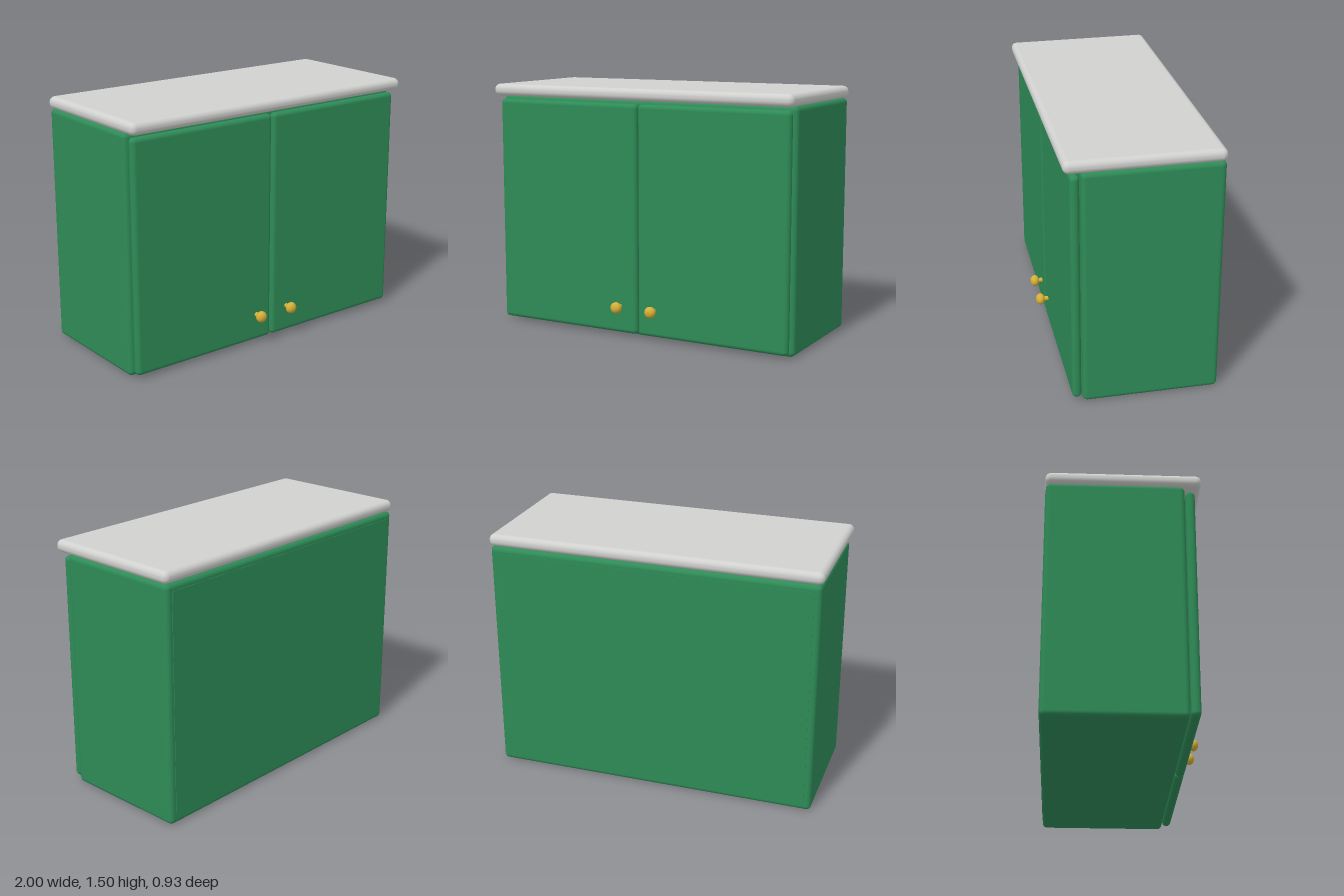
import * as THREE from 'three';
import { RoundedBoxGeometry } from 'three/addons/geometries/RoundedBoxGeometry.js';

const material = (name, color) => {
  const m = new THREE.MeshStandardMaterial({ color });
  m.name = name;
  return m;
};

export function createModel() {
  const green = material('cabinetGreen', 0x2e8b57);
  const grey = material('worktopGrey', 0xd0d0ce);
  const gold = material('knobGold', 0xd4af37);

  const model = new THREE.Group();
  model.name = 'cabinet';

  const add = (name, geometry, mat, parent = model) => {
    const mesh = new THREE.Mesh(geometry, mat);
    mesh.name = name;
    parent.add(mesh);
    return mesh;
  };

  // Rounded board given by its min and max corners
  const board = (name, min, max, radius, mat, parent) => {
    const size = max.map((v, i) => v - min[i]);
    const mesh = add(name, new RoundedBoxGeometry(...size, 5, radius), mat, parent);
    mesh.position.set(...max.map((v, i) => (v + min[i]) / 2));
    return mesh;
  };

  // Carcass and worktop
  board('carcass', [-0.99, 0.005, -0.46], [0.99, 1.43, 0.33], 0.028, green);
  board('worktop', [-1, 1.43, -0.463], [1, 1.503, 0.427], 0.034, grey);

  // Back panel: thin plate with rounded corners set inside the carcass edge
  const w = 0.95, y0 = 0.045, y1 = 1.39, r = 0.02;
  const outline = new THREE.Shape();
  outline.absarc(w - r, y1 - r, r, 0, Math.PI / 2);
  outline.absarc(-w + r, y1 - r, r, Math.PI / 2, Math.PI);
  outline.absarc(-w + r, y0 + r, r, Math.PI, Math.PI * 1.5);
  outline.absarc(w - r, y0 + r, r, Math.PI * 1.5, Math.PI * 2);
  const panel = add('backPanel',
    new THREE.ExtrudeGeometry(outline, { depth: 0.006, bevelEnabled: false, curveSegments: 6 }), green);
  panel.position.z = -0.463;

  // Knob profile, turned around the z axis: slim stem and flattened ball
  const profile = [new THREE.Vector2(0.014, 0), new THREE.Vector2(0.014, 0.025)];
  for (let i = 2; i <= 16; i++) {
    const a = (i / 16) * Math.PI;
    profile.push(new THREE.Vector2(Math.max(0, 0.035 * Math.sin(a)), 0.05 - 0.028 * Math.cos(a)));
  }
  const knobGeometry = new THREE.LatheGeometry(profile, 32).rotateX(Math.PI / 2);

  // Mirrored pair of doors with knobs near the inner lower corners
  for (const [side, s] of [['left', 1], ['right', -1]]) {
    const group = new THREE.Group();
    group.name = side + 'DoorGroup';
    model.add(group);
    const xs = [s * 0.004, s * 0.974].sort((a, b) => a - b);
    board(side + 'Door', [xs[0], 0.023, 0.335], [xs[1], 1.41, 0.389], 0.026, green, group);
    add(side + 'Knob', knobGeometry, gold, group).position.set(s * 0.117, 0.188, 0.387);
  }
  return model;
}
